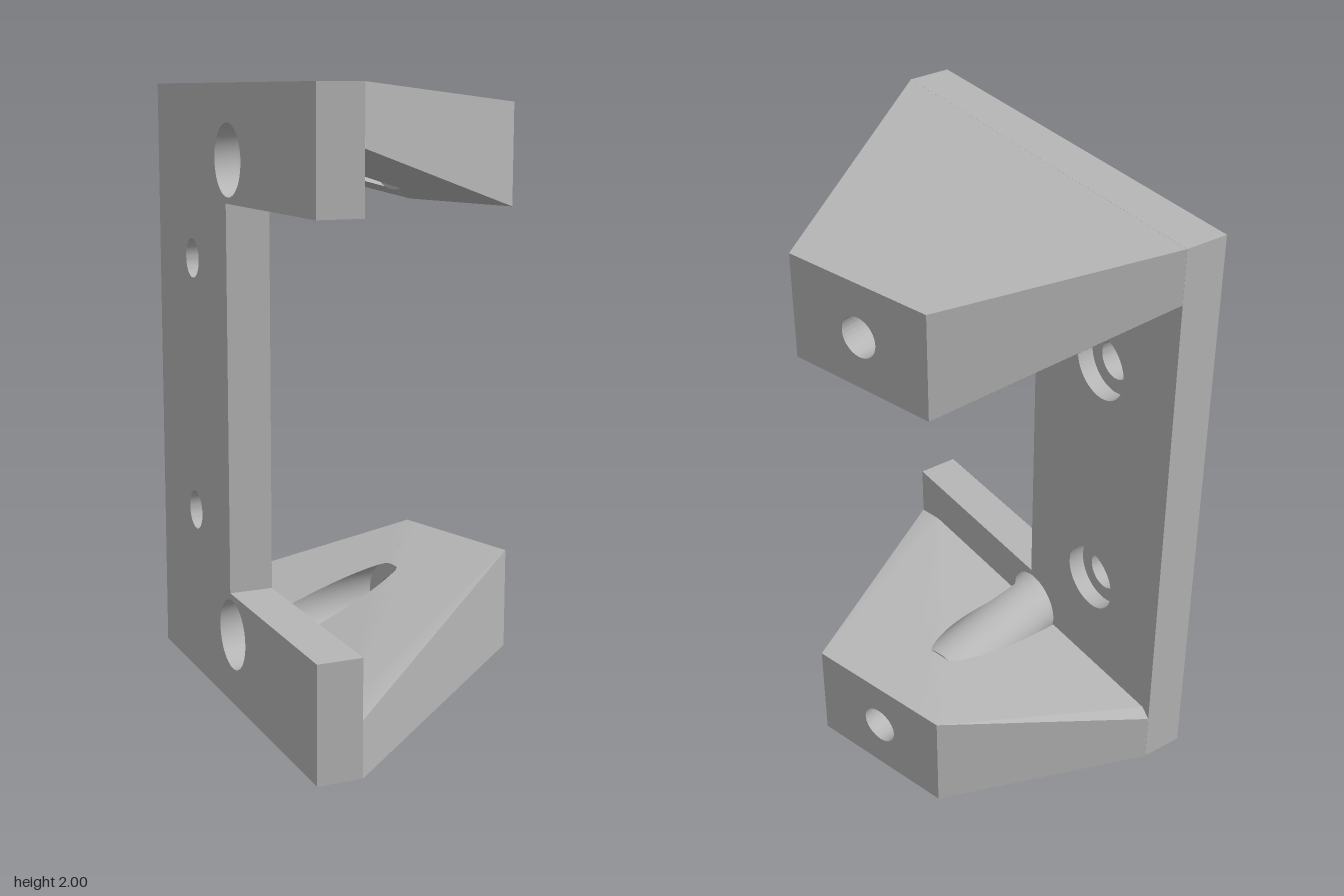
import * as THREE from 'three';
import { mergeGeometries, toCreasedNormals } from 'three/addons/utils/BufferGeometryUtils.js';

const V = (x, y, z) => new THREE.Vector3(x, y, z);
const SLOPE = 0.268;                       // the plate is turned 15 degrees
const bore = { x: -0.02, y: 0.235, r: 0.115, small: 0.065, floor: -0.28 };
const frontZ = x => 0.40 + SLOPE * x;
const backZ = x => 0.25 + SLOPE * x;

// Surface through rows of points
function grid(rows) {
  const pos = [], n = rows[0].length;
  for (let i = 0; i + 1 < rows.length; i++) {
    for (let j = 0; j + 1 < n; j++) {
      const a = rows[i][j], b = rows[i + 1][j], c = rows[i + 1][j + 1], d = rows[i][j + 1];
      for (const p of [a, b, c, a, c, d]) pos.push(p.x, p.y, p.z);
    }
  }
  return new THREE.BufferGeometry().setAttribute('position', new THREE.Float32BufferAttribute(pos, 3));
}

const triangle = (...p) => new THREE.BufferGeometry().setFromPoints(p);

function finish(geometries) {
  const plain = geometries.map(g => {
    const q = g.index ? g.toNonIndexed() : g;
    q.deleteAttribute('uv');
    q.deleteAttribute('normal');
    return q;
  });
  const merged = mergeGeometries(plain);
  merged.computeVertexNormals();
  return toCreasedNormals(merged, 0.5);
}

function polygon(points) {
  return new THREE.Shape(points.map(p => new THREE.Vector2(...p)));
}

function cutHole(shape, x, y, rx, ry = rx) {
  const path = new THREE.Path();
  path.absellipse(x, y, rx, ry, 0, Math.PI * 2, true);
  shape.holes.push(path);
}

// One layer of the C-shaped plate, between two fractions of its thickness
function plateLayer(w0, w1, screwRadius) {
  const s = polygon([[-0.70, 0], [0.665, 0], [0.665, 0.37], [-0.0375, 0.37],
    [-0.0375, 1.63], [0.665, 1.63], [0.665, 2], [-0.70, 2]]);
  for (const y of [0.57, 1.43]) cutHole(s, -0.362, y, screwRadius * 0.966, screwRadius);
  for (const y of [bore.y, 2 - bore.y]) cutHole(s, bore.x, y, bore.r);
  const g = new THREE.ExtrudeGeometry(s, { depth: w1 - w0, bevelEnabled: false, curveSegments: 24 });
  const p = g.attributes.position;
  for (let i = 0; i < p.count; i++) {
    const x = p.getX(i), y = p.getY(i), w = w1 - p.getZ(i);
    const inBore = [bore.y, 2 - bore.y].some(c => Math.hypot(x - bore.x, y - c) < 0.12);
    // bores run straight back, all other edges square to the plate
    if (inBore) p.setXYZ(i, x, y, frontZ(x) - 0.15 * w);
    else p.setXYZ(i, x + 0.0375 * w, y, frontZ(x) - 0.14 * w);
  }
  return g;
}

// Corners of the lower arm: A, B at the back, C, D on the plate
const A = V(-0.28, 0.405, -0.58), B = V(0.24, 0.405, -0.58);
const C = V(0.7025, 0.18, 0.438), D = V(-0.6625, 0.18, 0.072);
const C2 = V(0.598, 0.205, backZ(0.598)), D2 = V(-0.63, 0.21, backZ(-0.63));
const low = (p, y) => V(p.x, y, p.z);
const planes = [[A, B, C2], [A, C2, D2]].map(t => new THREE.Plane().setFromCoplanarPoints(...t));
const innerY = (x, z) => Math.min(...planes.map(({ normal: n, constant: c }) => -(n.x * x + n.z * z + c) / n.y));
const innerZ = (x, y) => Math.min(...planes.map(({ normal: n, constant: c }) => -(n.x * x + n.y * y + c) / n.z));

// Rear outline of the inner face
function outlineZ(x) {
  const pts = [D2, A, B, C2];
  const i = x < A.x ? 0 : x < B.x ? 1 : 2;
  const t = (x - pts[i].x) / (pts[i + 1].x - pts[i].x);
  return THREE.MathUtils.lerp(pts[i].z, pts[i + 1].z, t);
}

// Where the bore breaks through the inner face
const breakZ = (x, y) => Math.max(bore.floor, Math.min(backZ(x), innerZ(x, y)));

function innerStrip(xs, endZ) {
  return grid(xs.map(x => {
    const z0 = outlineZ(x), z1 = endZ(x), row = [];
    for (let j = 0; j <= 14; j++) {
      const z = THREE.MathUtils.lerp(z0, z1, j / 14);
      row.push(V(x, innerY(x, z), z));
    }
    return row;
  }));
}

function span(a, b, n) {
  return Array.from({ length: n + 1 }, (_, i) => THREE.MathUtils.lerp(a, b, i / n));
}

// Wall of a round hole along z, facing its axis
function holeWall(r, z0, z1) {
  return grid(span(Math.PI * 2, 0, 64).map(t => {
    const x = bore.x + r * Math.cos(t), y = bore.y + r * Math.sin(t);
    return [V(x, y, z0), V(x, y, z1(x, y, t))];
  }));
}

function armBody() {
  const left = bore.x - bore.r, right = bore.x + bore.r;
  const inner = [
    innerStrip([...span(C2.x, B.x, 10), ...span(B.x, right, 4).slice(1)], backZ),
    innerStrip(span(0, Math.PI, 24).map(t => bore.x + bore.r * Math.cos(t)), x =>
      breakZ(x, bore.y + Math.sqrt(Math.max(0, bore.r ** 2 - (x - bore.x) ** 2)))),
    innerStrip([...span(left, A.x, 4), ...span(A.x, D2.x, 10).slice(1)], backZ),
  ];
  const Al = low(A, 0.06), Bl = low(B, 0.06), Cl = low(C, 0), Dl = low(D, 0);
  // back face, drawn mirrored and then turned to face -z
  const back = polygon([[-B.x, 0.06], [-A.x, 0.06], [-A.x, A.y], [-B.x, B.y]]);
  cutHole(back, -bore.x, bore.y, bore.small);
  const backFace = new THREE.ShapeGeometry(back, 24).rotateY(Math.PI).translate(0, 0, A.z);
  return finish([
    ...inner, backFace,
    triangle(A, D, D2), triangle(B, C2, C),
    triangle(Al, Bl, Dl), triangle(Bl, Cl, Dl),
    grid([[Dl, Al], [D, A]]), grid([[Bl, Cl], [B, C]]),
  ]);
}

function armBore() {
  const ring = new THREE.RingGeometry(bore.small, bore.r, 48).translate(bore.x, bore.y, bore.floor);
  return finish([
    holeWall(bore.r, bore.floor, (x, y, t) => Math.sin(t) > 0 ? breakZ(x, y) : backZ(x)),
    holeWall(bore.small, A.z, () => bore.floor),
    ring,
  ]);
}

export function createModel() {
  const model = new THREE.Group();
  model.name = 'bracket';
  const grey = new THREE.MeshStandardMaterial({ color: 0xb6b6b6, side: THREE.DoubleSide });
  grey.name = 'plain grey';

  const add = (parent, name, geometry) => {
    const mesh = new THREE.Mesh(geometry, grey);
    mesh.name = name;
    parent.add(mesh);
  };

  // Plate: narrow screw holes in front, wide countersinks behind
  add(model, 'plateFront', finish([plateLayer(0, 0.6, 0.065)]));
  add(model, 'plateBack', finish([plateLayer(0.6, 1, 0.115)]));

  // Two arms, the upper one mirrored
  const body = armBody(), hole = armBore();
  for (const name of ['lowerArm', 'upperArm']) {
    const arm = new THREE.Group();
    arm.name = name;
    add(arm, name + 'Body', body);
    add(arm, name + 'Bore', hole);
    if (name === 'upperArm') {
      arm.scale.y = -1;
      arm.position.y = 2;
    }
    model.add(arm);
  }
  return model;
}
